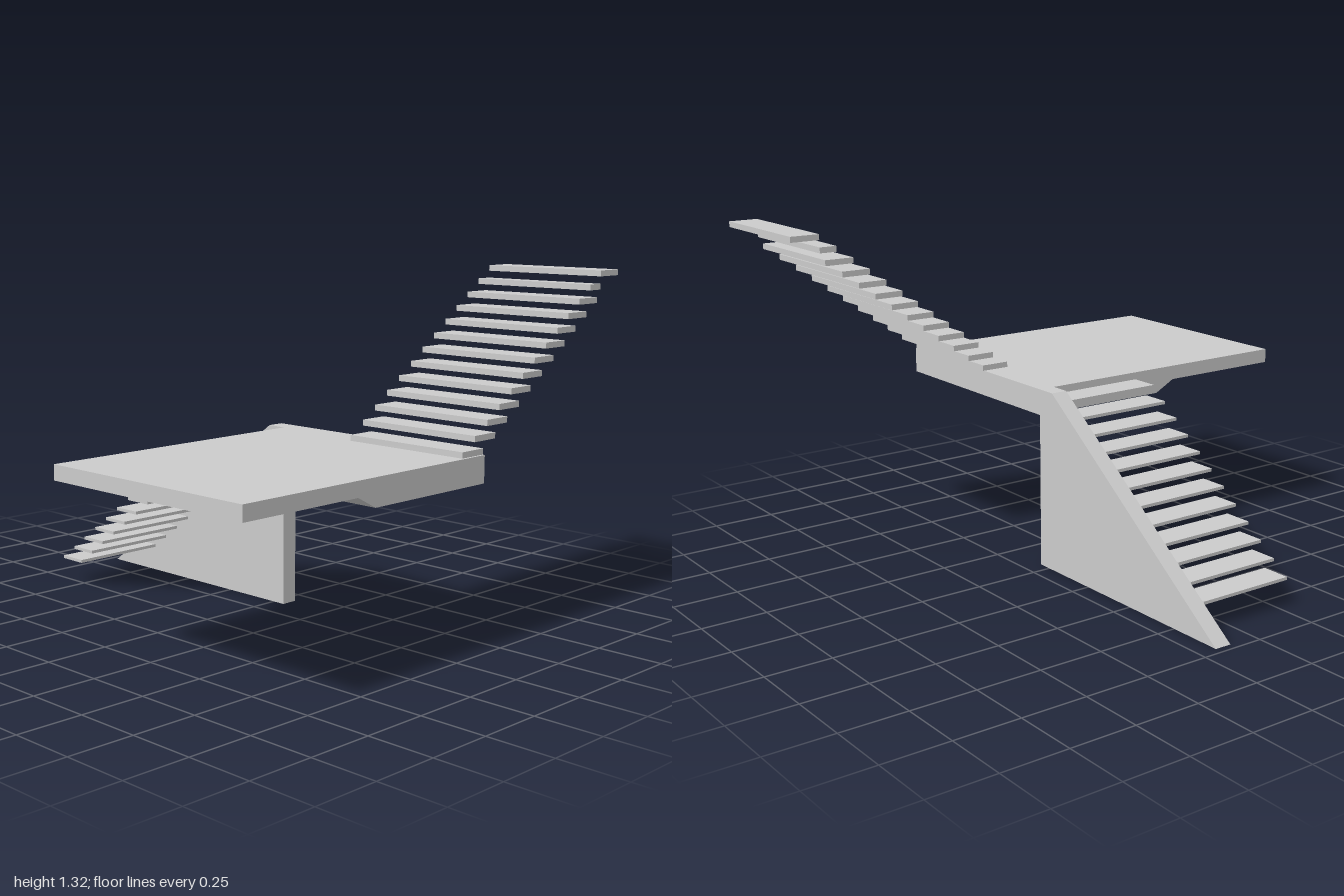
import * as THREE from 'three';

const material = new THREE.MeshStandardMaterial({ color: 0xcccccc, flatShading: true });

// Box given by its minimum and maximum corners
function slab(name, [x0, y0, z0], [x1, y1, z1]) {
  const mesh = new THREE.Mesh(new THREE.BoxGeometry(x1 - x0, y1 - y0, z1 - z0), material);
  mesh.position.set((x0 + x1) / 2, (y0 + y1) / 2, (z0 + z1) / 2);
  mesh.name = name;
  return mesh;
}

// Flat outline extruded along +z
function prism(name, points, depth) {
  const shape = new THREE.Shape(points.map(([x, y]) => new THREE.Vector2(x, y)));
  const mesh = new THREE.Mesh(new THREE.ExtrudeGeometry(shape, { depth, bevelEnabled: false }), material);
  mesh.name = name;
  return mesh;
}

export function createModel() {
  const model = new THREE.Group();
  model.name = 'staircase';

  // Landing slab, thinner towards -x
  const landing = prism('landing', [
    [-1, 0.65], [-0.485, 0.65], [-0.4, 0.605], [0.176, 0.605], [0.176, 0.706], [-1, 0.706],
  ], 0.912);
  landing.position.z = 0.054;
  model.add(landing);

  // Sloping side wall that carries the lower flight; outline x becomes -z
  const wall = prism('supportWall', [
    [-0.054, 0], [0.97, 0], [0.025, 0.706], [-0.054, 0.706],
  ], 0.066);
  wall.rotation.y = Math.PI / 2;
  wall.position.x = 0.11;
  model.add(wall);

  // Lower flight: thin treads cantilevered from the wall
  const lower = new THREE.Group();
  lower.name = 'lowerFlight';
  for (let i = 0; i < 12; i++) {
    const y = 0.105 + i * 0.0515;
    const z = -0.83 + i * 0.0698;
    lower.add(slab('lowerTread', [-0.29, y - 0.006, z], [0.11, y + 0.006, z + 0.116]));
  }
  model.add(lower);

  // Upper flight: floating treads rising towards +x, the second last one narrower
  const upper = new THREE.Group();
  upper.name = 'upperFlight';
  for (let i = 0; i < 13; i++) {
    const x = 0.063 + i * 0.068;
    const y = 0.706 + i * 0.049;
    const width = i === 11 ? 0.068 : 0.116;
    upper.add(slab('upperTread', [x, y, 0.44], [Math.min(x + width, 1), y + 0.022, 0.956]));
  }
  model.add(upper);

  return model;
}
